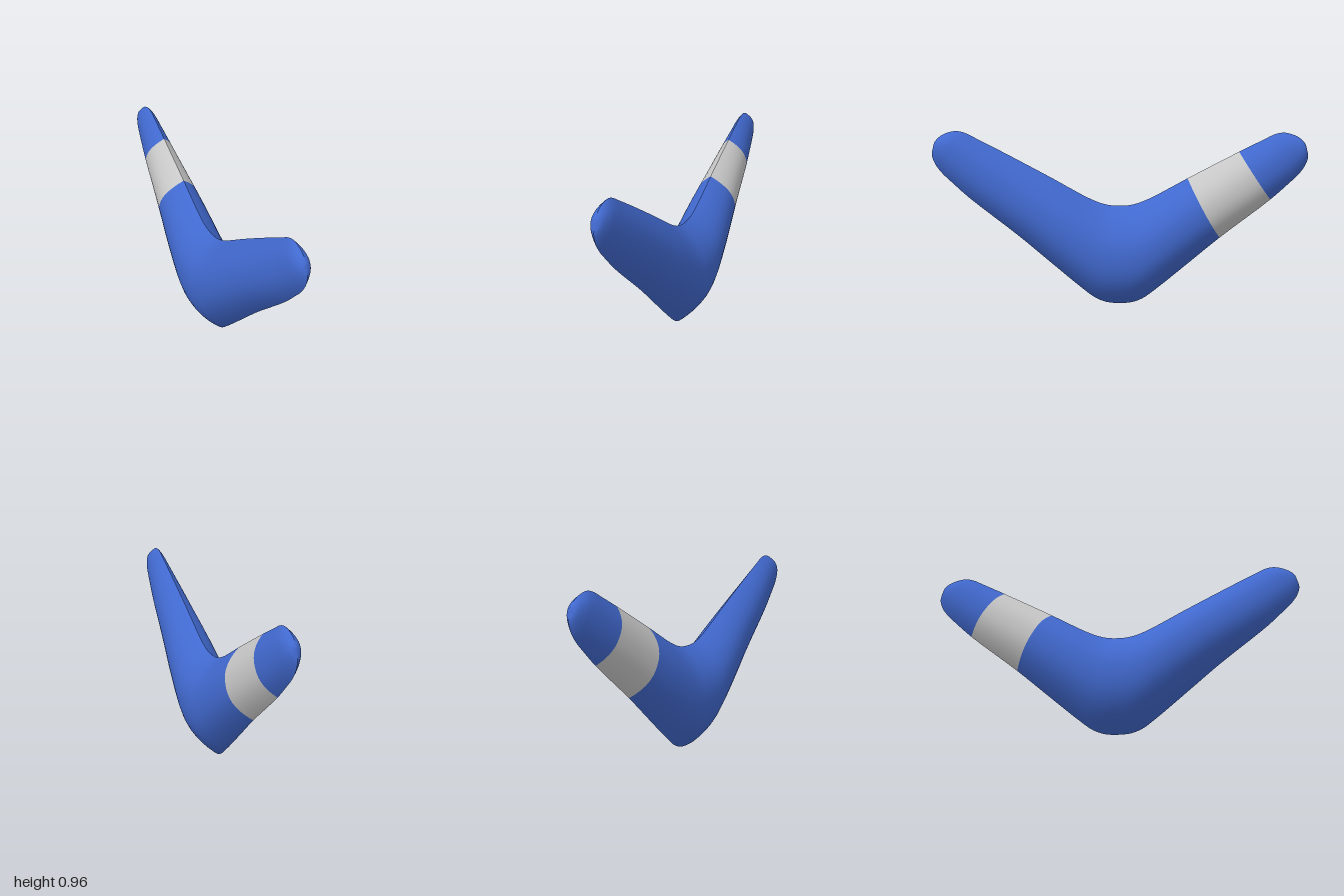
import * as THREE from 'three';

// Half of the blade, elbow to tip: [upper z, upper y, lower z, lower y, half thickness]
const ARM = [
  [0, 0.56, 0, 0.002, 0.15],
  [0.05, 0.563, 0.07, 0.008, 0.149],
  [0.10, 0.575, 0.13, 0.032, 0.147],
  [0.17, 0.605, 0.20, 0.085, 0.143],
  [0.27, 0.66, 0.37, 0.232, 0.13],
  [0.365, 0.714, 0.545, 0.385, 0.112],
  [0.635, 0.86, 0.81, 0.60, 0.078],
  [0.76, 0.925, 0.90, 0.685, 0.062],
  [0.82, 0.955, 0.95, 0.735, 0.053],
  [0.87, 0.964, 0.985, 0.785, 0.045],
  [0.93, 0.948, 1.0, 0.835, 0.031],
  [0.965, 0.925, 0.992, 0.875, 0.015],
  [0.984, 0.902, 0.984, 0.902, 0],
];
const BAND_FROM = 5, BAND_TO = 6; // stations of the stripe on the rear arm
const STEPS = 4; // rings between stations
const SIDES = 20; // points from the upper rim to the lower rim

// Lens-shaped cross-sections swept along the bent blade
function bladeGeometry() {
  const rear = ARM.slice(1).map(([uz, uy, lz, ly, h]) => [-uz, uy, -lz, ly, h]);
  const stations = [...ARM].reverse().concat(rear);
  const upper = new THREE.CatmullRomCurve3(stations.map((s) => new THREE.Vector3(s[4], s[1], s[0])));
  const lower = new THREE.CatmullRomCurve3(stations.map((s) => new THREE.Vector3(s[4], s[3], s[2])));
  const rings = (stations.length - 1) * STEPS;
  const elbow = (ARM.length - 1) * STEPS;
  const positions = [], body = [], band = [];

  // Each face has its own vertices, so the rim stays sharp
  for (const side of [1, -1]) {
    const base = positions.length / 3;
    for (let i = 0; i <= rings; i++) {
      const u = upper.getPoint(i / rings), l = lower.getPoint(i / rings);
      for (let k = 0; k <= SIDES; k++) {
        const t = Math.cos((Math.PI * k) / SIDES);
        const p = l.clone().lerp(u, (1 + t) / 2);
        positions.push(side * Math.max(0, u.x) * (1 - Math.abs(t) ** 2.3), p.y, p.z);
      }
    }
    for (let i = 0; i < rings; i++) {
      const striped = i >= elbow + BAND_FROM * STEPS && i < elbow + BAND_TO * STEPS;
      const faces = striped ? band : body;
      for (let k = 0; k < SIDES; k++) {
        const a = base + i * (SIDES + 1) + k, b = a + SIDES + 1;
        if (side > 0) faces.push(a, a + 1, b, b, a + 1, b + 1);
        else faces.push(a, b, a + 1, b, b + 1, a + 1);
      }
    }
  }

  const geometry = new THREE.BufferGeometry();
  geometry.setAttribute('position', new THREE.Float32BufferAttribute(positions, 3));
  geometry.setIndex([...body, ...band]);
  geometry.addGroup(0, body.length, 0);
  geometry.addGroup(body.length, band.length, 1);
  geometry.computeVertexNormals();
  return geometry;
}

export function createModel() {
  const blue = new THREE.MeshStandardMaterial({ color: 0x4169cf });
  blue.name = 'blue';
  const grey = new THREE.MeshStandardMaterial({ color: 0xc8c8c8 });
  grey.name = 'light grey';

  const model = new THREE.Group();
  model.name = 'boomerang';
  const blade = new THREE.Mesh(bladeGeometry(), [blue, grey]);
  blade.name = 'stripedBlade';
  model.add(blade);
  return model;
}
